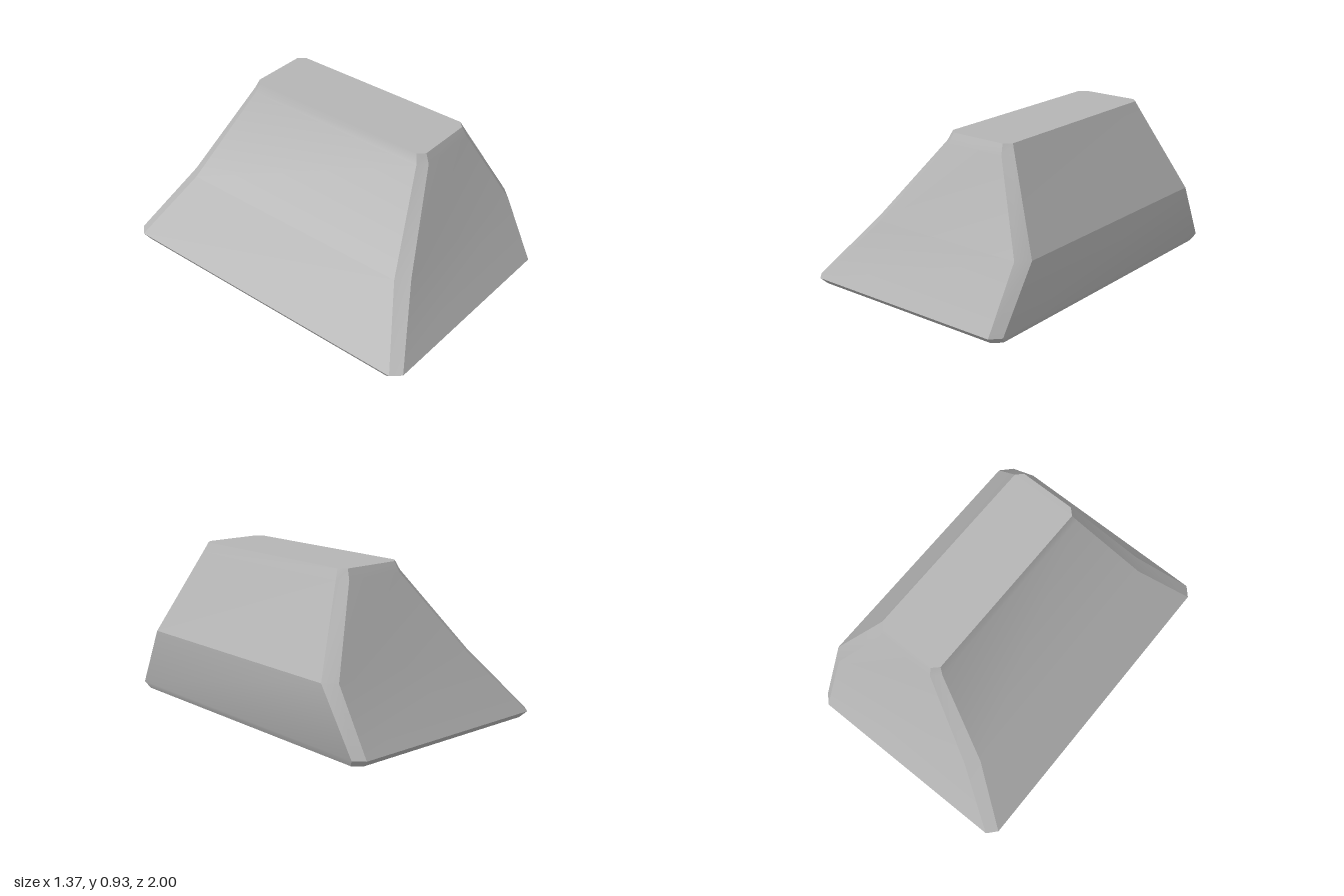
import * as THREE from 'three';
import { toCreasedNormals } from 'three/addons/utils/BufferGeometryUtils.js';

// Levels of the block: y, outer x range, inner x range (after the corner cut), outer z, inner z
const levels = [
  { y: 0, x0: -0.66, x1: 0.635, i0: -0.615, i1: 0.59, z: 0.96, iz: 0.915 },
  { y: 0.04, x0: -0.685, x1: 0.657, i0: -0.635, i1: 0.605, z: 1, iz: 0.945 },
  { y: 0.4, x0: -0.395, x1: 0.682, i0: -0.33, i1: 0.62, z: 0.81, iz: 0.745 },
  { y: 0.87, x0: -0.017, x1: 0.445, i0: 0.033, i1: 0.393, z: 0.633, iz: 0.588 },
  { y: 0.925, x0: 0.007, x1: 0.418, i0: 0.045, i1: 0.38, z: 0.607, iz: 0.57 },
];

// Rectangle with cut corners, counter-clockwise seen from above
function section({ y, x0, x1, i0, i1, z, iz }) {
  return [[x1, iz], [x1, -iz], [i1, -z], [i0, -z], [x0, -iz], [x0, iz], [i0, z], [i1, z]]
    .map(([x, zz]) => [x, y, zz]);
}

// Closed solid lofted through the sections
function loft(rings) {
  const positions = [];
  const tri = (a, b, c) => positions.push(...a, ...b, ...c);
  const n = rings[0].length;
  for (let r = 0; r < rings.length - 1; r++) {
    for (let i = 0; i < n; i++) {
      const j = (i + 1) % n;
      const [a, b, c, d] = [rings[r][i], rings[r][j], rings[r + 1][j], rings[r + 1][i]];
      tri(a, b, c);
      tri(a, c, d);
    }
  }
  const bottom = rings[0], top = rings[rings.length - 1];
  for (let i = 1; i < n - 1; i++) {
    tri(top[0], top[i], top[i + 1]);
    tri(bottom[0], bottom[i + 1], bottom[i]);
  }
  const geometry = new THREE.BufferGeometry();
  geometry.setAttribute('position', new THREE.Float32BufferAttribute(positions, 3));
  return toCreasedNormals(geometry, 0.45);
}

export function createModel() {
  const group = new THREE.Group();
  group.name = 'taperedBlock';
  const stone = new THREE.MeshStandardMaterial({ color: 0xb4b4b4 });
  stone.name = 'stone grey';

  // Tapered body with chamfered corners and a small rim at the base
  const body = new THREE.Mesh(loft(levels.map(section)), stone);
  body.name = 'body';
  group.add(body);
  return group;
}
